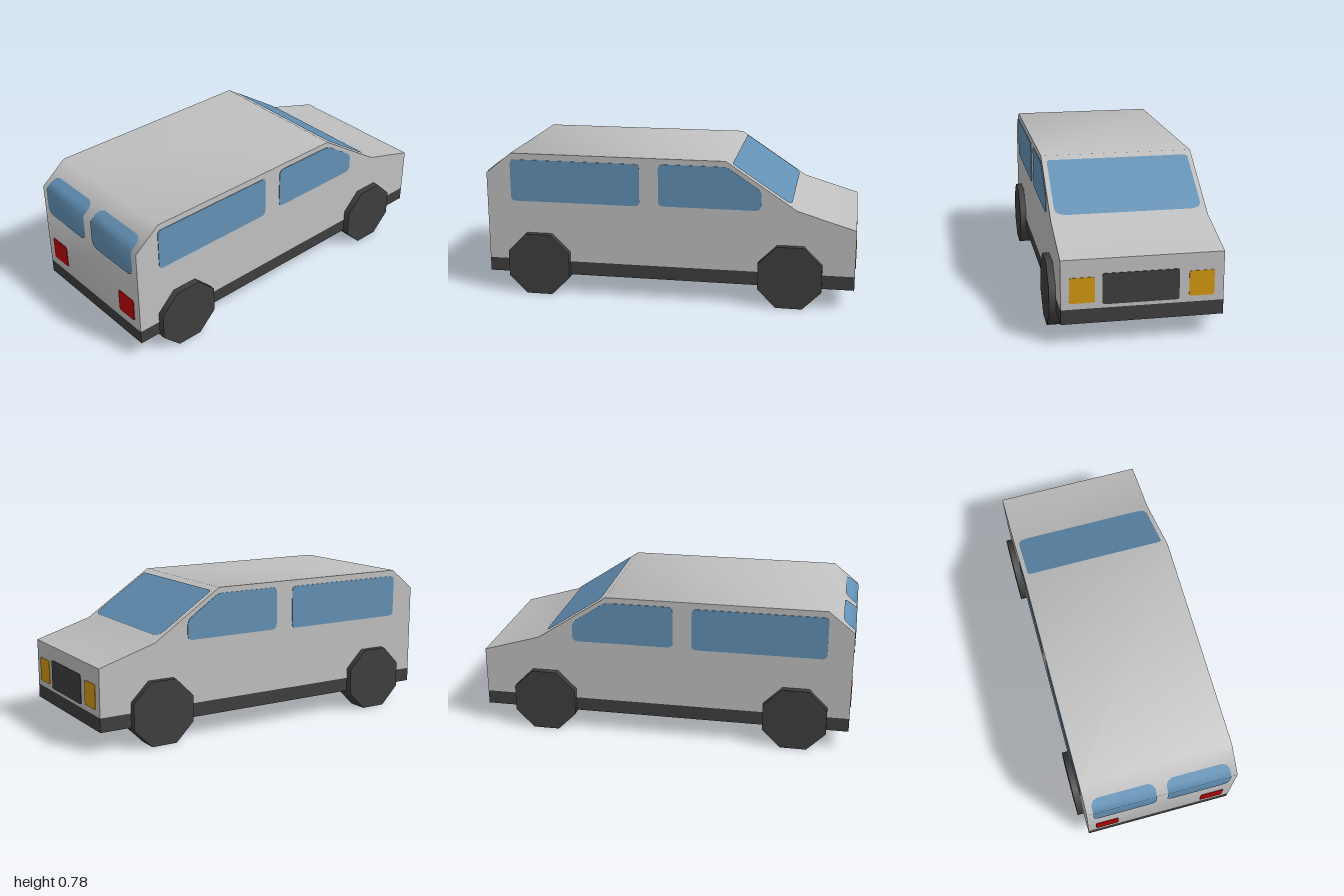
import * as THREE from 'three';
import { toCreasedNormals } from 'three/addons/utils/BufferGeometryUtils.js';

const HALF = 0.405; // half width of the body
const T = 0.006;    // thickness of painted plates

const mat = (name, color, side = THREE.FrontSide) => {
  const m = new THREE.MeshStandardMaterial({ color, side });
  m.name = name;
  return m;
};

// Polygon with rounded corners
function roundedShape(pts, r) {
  const v = pts.map(p => new THREE.Vector2(...p));
  const s = new THREE.Shape();
  v.forEach((p, i) => {
    const prev = v[(i + v.length - 1) % v.length], next = v[(i + 1) % v.length];
    const a = p.clone().add(prev.clone().sub(p).setLength(r));
    const b = p.clone().add(next.clone().sub(p).setLength(r));
    i ? s.lineTo(a.x, a.y) : s.moveTo(a.x, a.y);
    s.quadraticCurveTo(p.x, p.y, b.x, b.y);
  });
  s.closePath();
  return s;
}

const rect = (a0, a1, b0, b1) => [[a0, b0], [a1, b0], [a1, b1], [a0, b1]];

const plate = (pts, r) => new THREE.ExtrudeGeometry(roundedShape(pts, r),
  { depth: T, bevelEnabled: false, curveSegments: 4 }).translate(0, 0, -T / 2);

// Glass sheet across z following rows of [x, y, corner inset]
function glassSheet(rows, z0, z1) {
  const pos = [], idx = [];
  rows.forEach(([x, y, inset], i) => {
    pos.push(x, y, z1 - inset, x, y, z0 + inset);
    if (i) {
      const a = 2 * i - 2;
      idx.push(a, a + 2, a + 3, a, a + 3, a + 1);
    }
  });
  const g = new THREE.BufferGeometry();
  g.setAttribute('position', new THREE.Float32BufferAttribute(pos, 3));
  g.setIndex(idx);
  g.computeVertexNormals();
  return g;
}

export function createModel() {
  const car = new THREE.Group();
  car.name = 'van';
  const paint = mat('silver paint', 0xbfbfbf);
  const dark = mat('dark rubber', 0x3e3e3e);
  const glass = mat('blue glass', 0x6290b4, THREE.DoubleSide);
  const amber = mat('amber lamp', 0xd2960f);
  const red = mat('red lamp', 0xb80404);

  const add = (name, geometry, material) => {
    const m = new THREE.Mesh(geometry, material);
    m.name = name;
    car.add(m);
    return m;
  };

  // Body: side profile extruded across the width
  const profile = [[-1, 0.185], [1, 0.185], [1, 0.437], [0.69, 0.53],
    [0.31, 0.782], [-0.86, 0.782], [-1, 0.67]];
  const shape = new THREE.Shape(profile.map(p => new THREE.Vector2(...p)));
  const bodyGeo = new THREE.ExtrudeGeometry(shape, { depth: 2 * HALF, bevelEnabled: false });
  add('body', toCreasedNormals(bodyGeo.translate(0, 0, -HALF), 1.0), paint);

  // Dark sill and underside
  add('sill', new THREE.BoxGeometry(2, 0.075, 2 * HALF).translate(0, 0.1475, 0), dark);

  // Eight-sided wheels standing on a flat
  const wheelGeo = new THREE.CylinderGeometry(0.184, 0.184, 0.11, 8)
    .rotateY(Math.PI / 8).rotateX(Math.PI / 2);
  for (const x of [-0.712, 0.66])
    for (const z of [-0.385, 0.385])
      add(x > 0 ? 'frontWheel' : 'rearWheel', wheelGeo, dark).position.set(x, 0.17, z);

  // Side windows
  const rearSide = plate(rect(-0.865, -0.152, 0.518, 0.748), 0.025);
  const frontSide = plate([[-0.05, 0.523], [0.5, 0.523], [0.5, 0.628], [0.315, 0.752], [-0.05, 0.752]], 0.03);
  for (const z of [-HALF, HALF]) {
    add('rearSideWindow', rearSide, glass).position.z = z;
    add('frontSideWindow', frontSide, glass).position.z = z;
  }

  // Windshield lying on the front slope
  const onSlope = ([x, inset]) => [x, 0.787 - 0.663 * (x - 0.31), inset];
  add('windshield', glassSheet([[0.343, 0.012], [0.352, 0], [0.62, 0], [0.64, 0.006],
    [0.65, 0.018], [0.658, 0.05]].map(onSlope), -0.38, 0.38), glass);

  // Paired rear windows bending over the tail edge
  const rearRows = [[-1.003, 0.52, 0.035], [-1.003, 0.53, 0.012], [-1.003, 0.555, 0],
    [-1.003, 0.673, 0], [-0.965, 0.703, 0], [-0.945, 0.719, 0.012], [-0.935, 0.727, 0.035]];
  add('rearWindow', glassSheet(rearRows, 0.03, 0.37), glass);
  add('rearWindow', glassSheet(rearRows, -0.37, -0.03), glass);

  // Grille and lamps on the end faces
  const endPlate = (name, x, z0, z1, y0, y1, material) =>
    add(name, plate(rect(-z1, -z0, y0, y1), 0.012).rotateY(Math.PI / 2).translate(x, 0, 0), material);
  endPlate('grille', 1, -0.181, 0.2, 0.203, 0.361, dark);
  endPlate('headlight', 1, 0.237, 0.363, 0.216, 0.346, amber);
  endPlate('headlight', 1, -0.356, -0.23, 0.216, 0.346, amber);
  for (const s of [-1, 1])
    endPlate('tailLight', -1, s * 0.297 - 0.063, s * 0.297 + 0.063, 0.232, 0.36, red);

  return car;
}
